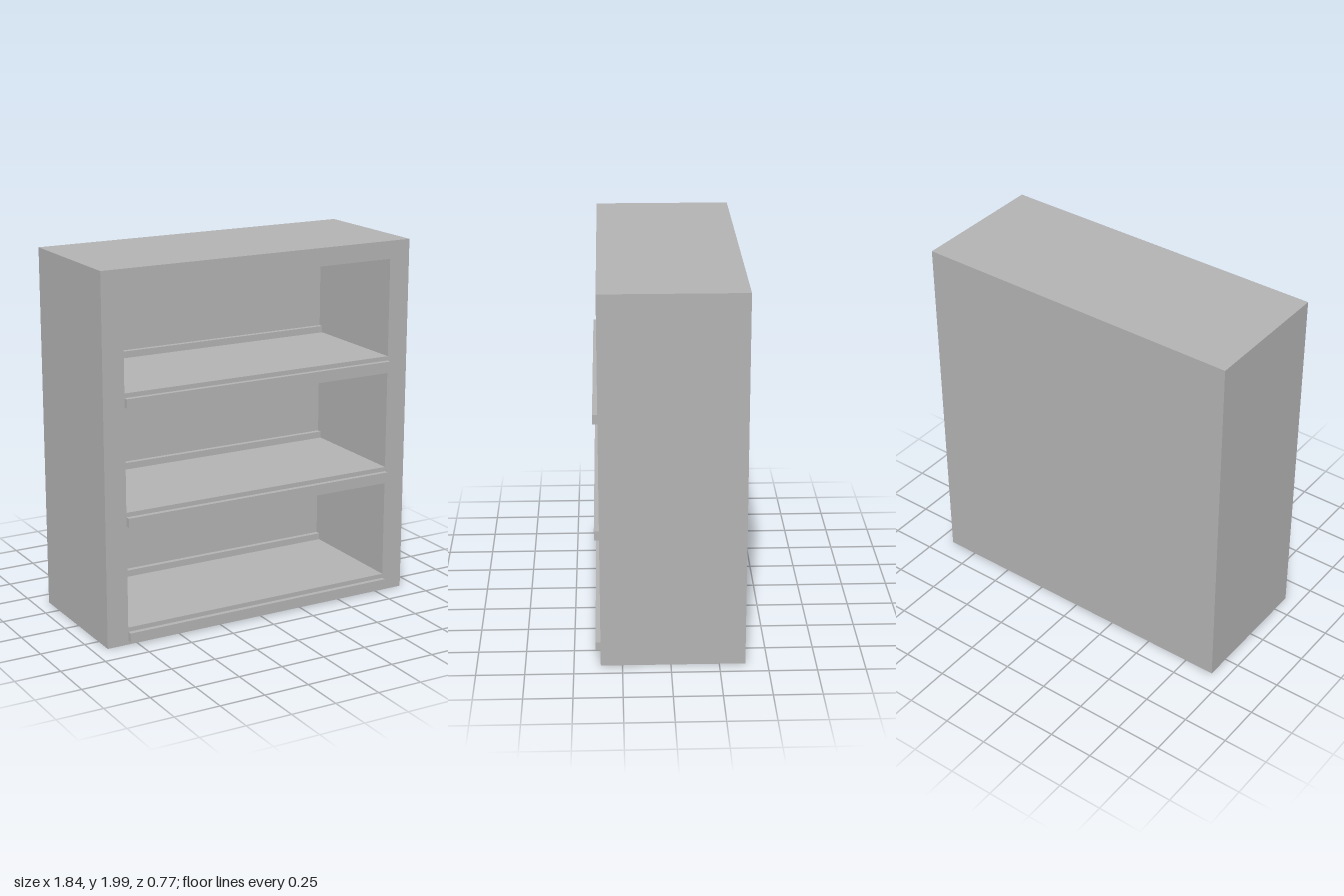
import * as THREE from 'three';

export function createModel() {
  const group = new THREE.Group();
  const grey = new THREE.MeshStandardMaterial({ color: 0xb2b2b2 });
  grey.name = 'grey';

  const xMin = -0.92, xMax = 0.917, yMin = 0.01, yMax = 2;
  const openMin = -0.8, openMax = 0.795;
  const zBack = -0.385, zInner = -0.33, zFront = 0.362;
  const bays = [0.105, 0.735, 1.366]; // floor heights
  const bayHeight = 0.536;

  const rect = (target, x0, y0, x1, y1) => {
    target.moveTo(x0, y0);
    target.lineTo(x1, y0);
    target.lineTo(x1, y1);
    target.lineTo(x0, y1);
    target.closePath();
    return target;
  };

  const box = (name, x0, x1, y0, y1, z0, z1) => {
    const mesh = new THREE.Mesh(new THREE.BoxGeometry(x1 - x0, y1 - y0, z1 - z0), grey);
    mesh.position.set((x0 + x1) / 2, (y0 + y1) / 2, (z0 + z1) / 2);
    mesh.name = name;
    group.add(mesh);
  };

  // Carcass with three open bays
  const outline = rect(new THREE.Shape(), xMin, yMin, xMax, yMax);
  for (const y of bays) outline.holes.push(rect(new THREE.Path(), openMin, y, openMax, y + bayHeight));
  const carcass = new THREE.Mesh(
    new THREE.ExtrudeGeometry(outline, { depth: zFront - zInner, bevelEnabled: false }), grey);
  carcass.position.z = zInner;
  carcass.name = 'carcass';
  group.add(carcass);

  box('backPanel', xMin, xMax, yMin, yMax, zBack, zInner);

  // Front lip below each bay and a low ledge at the back of its floor
  for (const y of bays) {
    box('shelfLip', openMin, openMax, y - 0.073, y - 0.024, zFront, 0.389);
    box('backLedge', openMin, openMax, y, y + 0.037, zInner, zInner + 0.028);
  }

  return group;
}
